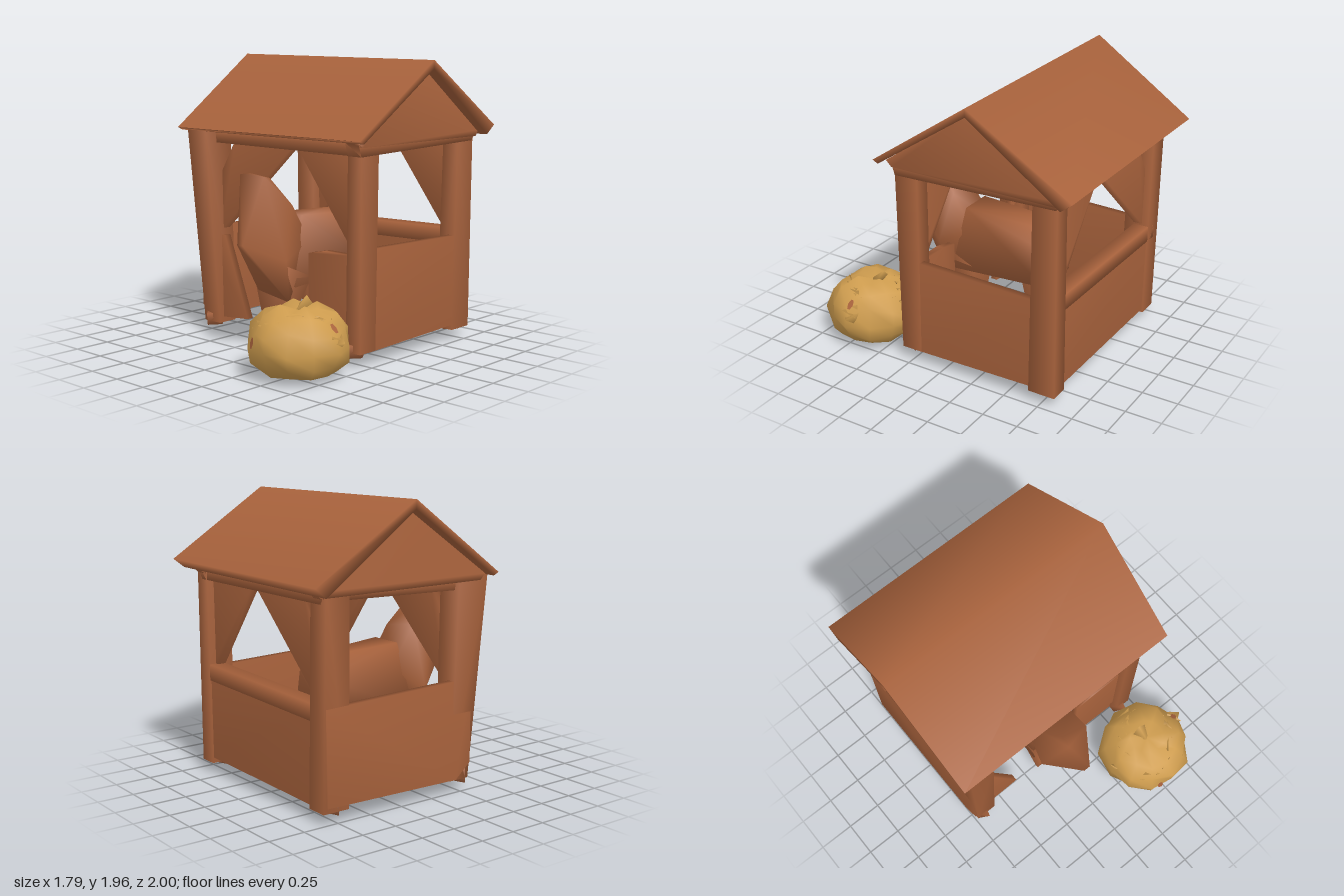
import * as THREE from 'three';
import { mergeVertices } from 'three/addons/utils/BufferGeometryUtils.js';
import { ConvexGeometry } from 'three/addons/geometries/ConvexGeometry.js';

export function createModel() {
  const model = new THREE.Group();
  const wood = new THREE.MeshStandardMaterial({ color: 0xa8623c });
  wood.name = 'brownWood';
  const straw = new THREE.MeshStandardMaterial({ color: 0xcf9d4f });
  straw.name = 'straw';

  let seed = 7;
  const rand = () => (seed = (seed * 16807) % 2147483647) / 2147483647;

  function add(name, geometry, material = wood) {
    const mesh = new THREE.Mesh(geometry, material);
    mesh.name = name;
    model.add(mesh);
    return mesh;
  }
  // Weld shared corners so the shading runs smoothly over them
  function smooth(geometry) {
    geometry.deleteAttribute('normal');
    geometry.deleteAttribute('uv');
    const welded = mergeVertices(geometry, 1e-4);
    welded.computeVertexNormals();
    return welded;
  }
  // Convex solid around a few corner points
  const hull = (name, pts, material = wood) =>
    add(name, smooth(new ConvexGeometry(pts.map((p) => new THREE.Vector3(...p)))), material);
  // Flat board: outline in x,y between two depths
  const boardXY = (name, pts, z0, z1) =>
    hull(name, pts.flatMap(([x, y]) => [[x, y, z0], [x, y, z1]]));
  // Flat board: outline in z,y between two x positions
  const boardZY = (name, pts, x0, x1) =>
    hull(name, pts.flatMap(([z, y]) => [[x0, y, z], [x1, y, z]]));
  // Upright post with separate bottom and top rectangles [x0, x1, z0, z1]
  function post(name, b, t, y0, y1) {
    const ring = ([x0, x1, z0, z1], y) =>
      [[x0, y, z0], [x1, y, z0], [x1, y, z1], [x0, y, z1]];
    return hull(name, [...ring(b, y0), ...ring(t, y1)]);
  }

  // Four corner posts
  post('frontLeftPost', [0.59, 0.71, 0.17, 0.32], [0.61, 0.72, 0.16, 0.33], 0.1, 1.46);
  post('frontRightPost', [-0.74, -0.59, 0.17, 0.32], [-0.8, -0.62, 0.17, 0.41], 0.09, 1.46);
  post('backLeftPost', [0.58, 0.71, -0.85, -0.66], [0.6, 0.72, -0.85, -0.68], 0.08, 1.46);
  post('backRightPost', [-0.74, -0.59, -0.85, -0.66], [-0.78, -0.62, -0.85, -0.68], 0.08, 1.46);

  // Low side and back walls
  const side = [[0.32, 0.77], [0.32, 0.2], [0.2, 0.1], [-0.83, 0.12], [-0.84, 0.74]];
  boardZY('leftWall', side, 0.66, 0.71);
  boardZY('rightWall', side, -0.76, -0.71);
  boardXY('backWall', [[-0.74, 0.74], [0.7, 0.77], [0.7, 0.12], [-0.74, 0.1]], -0.84, -0.8);
  boardXY('backRail', [[-0.7, 0.64], [-0.7, 0.75], [0.66, 0.78], [0.66, 0.67]], -0.85, -0.74);
  boardXY('backSill', [[-0.7, 0.11], [-0.7, 0.21], [0.66, 0.2], [0.66, 0.13]], -0.83, -0.76);

  // Front half walls, the right one slanting to the floor
  boardXY('frontLeftPanel', [[0.22, 0.69], [0.36, 0.72], [0.64, 0.72], [0.64, 0.11], [0.22, 0.12]], 0.22, 0.27);
  boardXY('frontRightPanel', [[-0.76, 0.7], [-0.57, 0.72], [-0.35, 0.15], [-0.7, 0.12]], 0.23, 0.28);

  // Beams under the eaves
  const beam = [[-0.72, 1.37], [-0.78, 1.46], [0.74, 1.46], [0.66, 1.36]];
  boardXY('frontBeam', beam, 0.17, 0.31);
  boardXY('backBeam', beam, -0.85, -0.7);
  for (const [name, x] of [['leftBeam', 0.61], ['rightBeam', -0.76]]) {
    boardZY(name, [[0.33, 1.36], [0.36, 1.45], [-0.9, 1.46], [-0.84, 1.39]], x, x + 0.11);
  }

  // Broad diagonal braces in the front and back frames
  for (const [end, z] of [['front', 0.2], ['back', -0.8]]) {
    boardXY(end + 'BraceRight', [[-0.63, 0.74], [-0.62, 1.16], [-0.48, 1.39], [0.08, 1.39]], z, z + 0.06);
    boardXY(end + 'BraceLeft', [[0.1, 1.39], [0.62, 1.39], [0.64, 0.75], [0.58, 0.76]], z, z + 0.06);
  }

  // Roof: one bent slab, a little longer at the ridge than at the eaves
  const chevron = new THREE.Shape([
    [-0.44, 1.47], [-0.4, 1.45], [0.27, 1.91], [0.91, 1.43], [0.99, 1.495], [0.27, 1.97],
  ].map((p) => new THREE.Vector2(...p)));
  const roofGeometry = new THREE.ExtrudeGeometry(chevron, { depth: 1, bevelEnabled: false });
  const rp = roofGeometry.attributes.position;
  for (let i = 0; i < rp.count; i++) {
    const u = rp.getX(i), y = rp.getY(i), w = rp.getZ(i);
    const rise = (y - 1.46) / 0.5;
    rp.setXYZ(i, w > 0.5 ? 0.8 + 0.02 * rise : -0.87 - 0.03 * rise, y - 0.02 * w * rise, -u);
  }
  const roof = add('roof', smooth(roofGeometry)).geometry.attributes;
  // Shading along the ridge points straight up outside and down inside
  for (let i = 0; i < roof.position.count; i++) {
    if (Math.abs(roof.position.getZ(i) + 0.27) < 0.01) {
      roof.normal.setXYZ(i, 0, roof.position.getY(i) > 1.93 ? 1 : -1, 0);
    }
  }

  // Gable boards closing the roof ends
  const gable = [[-0.27, 1.91], [0.38, 1.46], [0.34, 1.42], [-0.86, 1.42], [-0.89, 1.46]];
  boardZY('leftGable', gable, 0.69, 0.74);
  boardZY('rightGable', gable, -0.81, -0.76);

  // Stable animal: head and neck lean out of the front, body stands inside
  hull('animalHead', [
    [-0.12, 1.21, 0.56], [0.06, 1.2, 0.52], [-0.11, 1.21, 0.48], [0.05, 1.19, 0.46],
    [-0.15, 1.03, 0.34], [0.1, 1.0, 0.3], [-0.05, 0.76, 0.66], [0.0, 0.76, 0.66],
    [-0.21, 0.58, 0.4], [0.14, 0.64, 0.4], [-0.16, 0.4, 0.36], [0.11, 0.35, 0.34],
    [-0.15, 0.75, 0.14], [0.1, 0.75, 0.14],
  ]);
  hull('animalBody', [
    [-0.14, 0.92, 0.2], [0.1, 0.92, 0.2], [-0.14, 0.86, 0.07], [0.1, 0.86, 0.07],
    [-0.12, 0.9, -0.32], [0.06, 0.89, -0.32], [-0.18, 0.76, -0.43], [0.12, 0.76, -0.43],
    [-0.2, 0.5, -0.45], [0.14, 0.5, -0.45], [-0.2, 0.45, 0.3], [0.13, 0.45, 0.3],
  ]);
  // Forelegs merge into one tapering chest, hind legs stand apart
  hull('animalForelegs', [
    [-0.2, 0.58, 0.38], [0.14, 0.6, 0.38], [-0.19, 0.5, 0.14], [0.13, 0.5, 0.14],
    [-0.16, 0.12, 0.3], [0.06, 0.17, 0.3], [-0.14, 0.01, 0.25], [-0.1, 0.01, 0.21],
  ]);
  for (const [name, x] of [['hindLeftLeg', 0.06], ['hindRightLeg', -0.12]]) {
    post(name, [x - 0.03, x + 0.03, -0.42, -0.36], [x - 0.07, x + 0.07, -0.44, -0.25], 0.02, 0.56);
  }

  // Splinters at the foot of the posts
  for (const x of [-0.69, 0.62]) {
    for (const z of [0.28, -0.76]) {
      hull('footSplinter', [[x - 0.07, 0.17, z], [x + 0.06, 0.15, z - 0.07],
        [x + 0.02, 0.15, z + 0.09], [x - 0.04, 0.05, z + 0.03], [x + 0.05, 0.06, z - 0.03]]);
    }
  }

  // Hay heap: uneven turned mound with a ruffled top
  const profile = [[0, 0.05], [0.24, 0.055], [0.3, 0.12], [0.325, 0.21], [0.3, 0.32],
    [0.23, 0.41], [0.12, 0.455], [0, 0.43]].map((p) => new THREE.Vector2(...p));
  const sides = 12;
  const hayGeometry = new THREE.LatheGeometry(profile, sides);
  const pos = hayGeometry.attributes.position;
  for (let i = 0; i < pos.count; i++) {
    const ring = i % profile.length;
    const turn = Math.floor(i / profile.length) % sides;
    const k = 1 + 0.06 * Math.sin(turn * 2.6 + ring * 1.9);
    const lift = ring > 3 && ring < 7 ? 0.025 * Math.sin(turn * 4.1 + ring) : 0;
    pos.setXYZ(i, pos.getX(i) * k, pos.getY(i) + lift, pos.getZ(i) * k);
  }
  add('hayHeap', smooth(hayGeometry), straw).position.set(0.53, 0, 0.69);

  // Loose straw tufts, thickest around the crown
  const up = new THREE.Vector3(0, 1, 0);
  for (let i = 0; i < 30; i++) {
    const a = i * 2.4;
    const h = 0.3 + rand() * 0.13;
    const r = 0.29 - (h - 0.3) * 1.1;
    const tuft = add('strawTuft', new THREE.ConeGeometry(0.05, 0.11, 3), straw);
    tuft.position.set(0.53 + Math.cos(a) * r, h, 0.69 + Math.sin(a) * r);
    const dir = new THREE.Vector3(Math.cos(a + 1.1), 0.35, Math.sin(a + 1.1)).normalize();
    tuft.quaternion.setFromUnitVectors(up, dir);
  }
  hull('hayPoint', [[0.79, 0.32, 0.6], [0.81, 0.22, 0.62], [0.77, 0.25, 0.76], [0.89, 0.28, 0.67]], straw);
  hull('hayCrest', [[0.44, 0.43, 0.62], [0.62, 0.43, 0.62], [0.52, 0.42, 0.72], [0.52, 0.51, 0.61]], straw);

  // Small brown flecks on the hay: position, then the way they face
  for (const [p, n] of [[[0.81, 0.36, 0.68], [0.7, 0.7, 0]], [[0.42, 0.26, 0.995], [-0.34, 0.2, 0.92]]]) {
    const fleck = add('hayFleck', new THREE.CircleGeometry(0.03, 6));
    fleck.position.set(...p);
    fleck.lookAt(p[0] + n[0], p[1] + n[1], p[2] + n[2]);
    fleck.scale.set(0.7, 1.3, 1);
  }

  return model;
}
